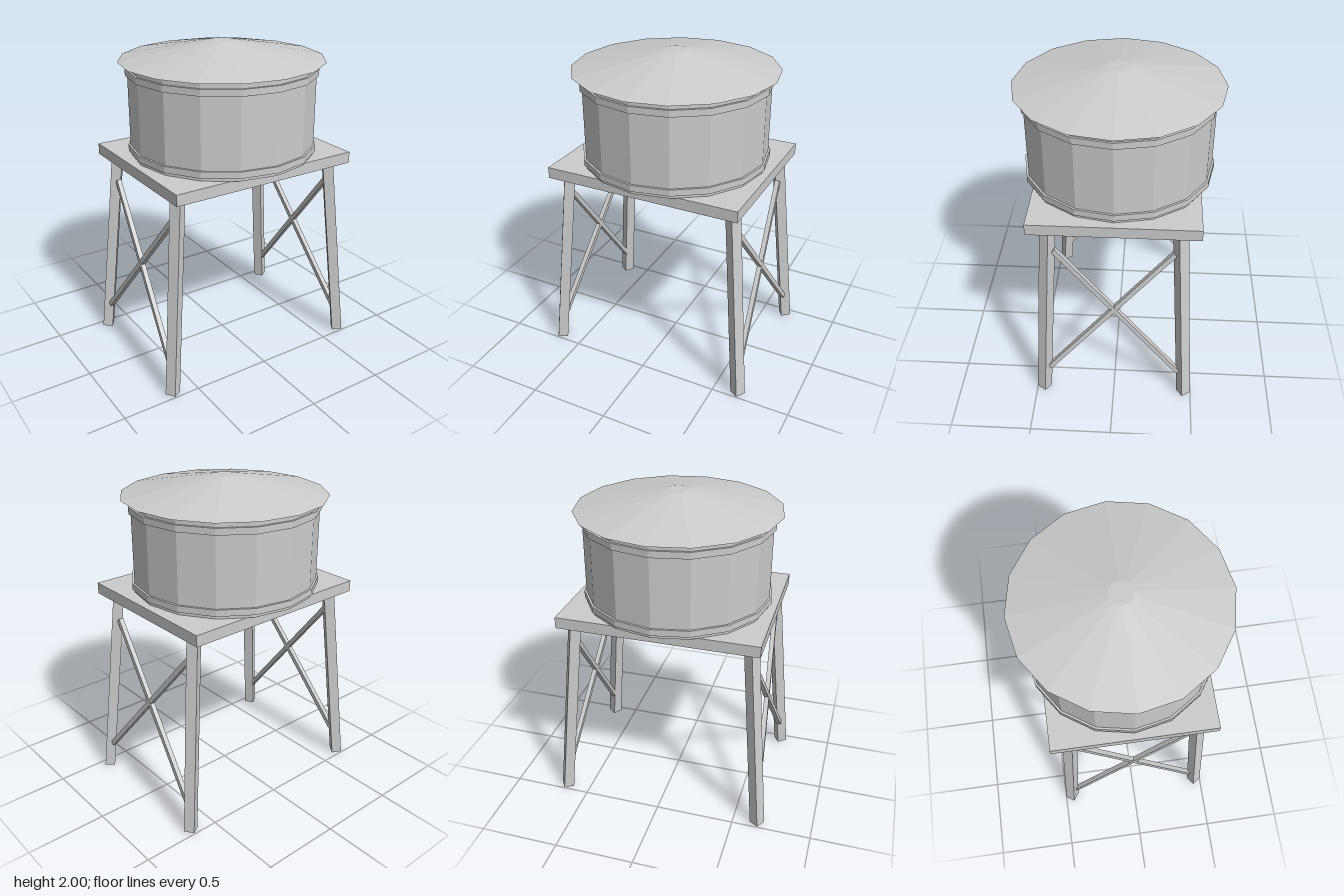
import * as THREE from 'three';

export function createModel() {
  const model = new THREE.Group();
  model.name = 'waterTower';
  const grey = new THREE.MeshStandardMaterial({ color: 0xcccccc, flatShading: true });
  grey.name = 'paleGrey';

  const add = (name, geometry, y = 0) => {
    const mesh = new THREE.Mesh(geometry, grey);
    mesh.name = name;
    mesh.position.y = y;
    model.add(mesh);
    return mesh;
  };

  // Sixteen-sided drum between two heights
  const drum = (name, rTop, rBottom, y0, y1) =>
    add(name, new THREE.CylinderGeometry(rTop, rBottom, y1 - y0, 16), (y0 + y1) / 2);

  // Square bar from a to b, with one pair of faces turned towards "out"
  const bar = (name, a, b, size, out) => {
    const up = b.clone().sub(a);
    const length = up.length();
    up.normalize();
    const x = out.clone().addScaledVector(up, -out.dot(up)).normalize();
    const z = new THREE.Vector3().crossVectors(x, up);
    const mesh = add(name, new THREE.BoxGeometry(size, length, size));
    mesh.quaternion.setFromRotationMatrix(new THREE.Matrix4().makeBasis(x, up, z));
    mesh.position.copy(a).add(b).multiplyScalar(0.5);
  };

  // Tank, hoops and shallow roof
  drum('tank', 0.57, 0.57, 1.32, 1.89);
  drum('lowerHoop', 0.583, 0.583, 1.34, 1.38);
  drum('upperHoop', 0.583, 0.583, 1.81, 1.85);
  drum('roof', 0.07, 0.625, 1.89, 2);

  // Platform
  add('platform', new THREE.BoxGeometry(1.235, 0.07, 1), 1.285);

  for (const sx of [1, -1]) {
    for (const sz of [1, -1]) {
      // Splayed leg, turned to face away from the centre
      bar('leg',
        new THREE.Vector3(0.655 * sx, 0.004, 0.455 * sz),
        new THREE.Vector3(0.543 * sx, 1.27, 0.38 * sz),
        0.065, new THREE.Vector3(0.112 * sx, 0, 0.075 * sz));
      // Diagonal brace on the left and right sides
      bar('crossBrace',
        new THREE.Vector3(0.64 * sx, 0.18, 0.412 * sz),
        new THREE.Vector3(0.56 * sx, 1.1, -0.355 * sz),
        0.03, new THREE.Vector3(sx, 0, 0));
    }
  }
  return model;
}
